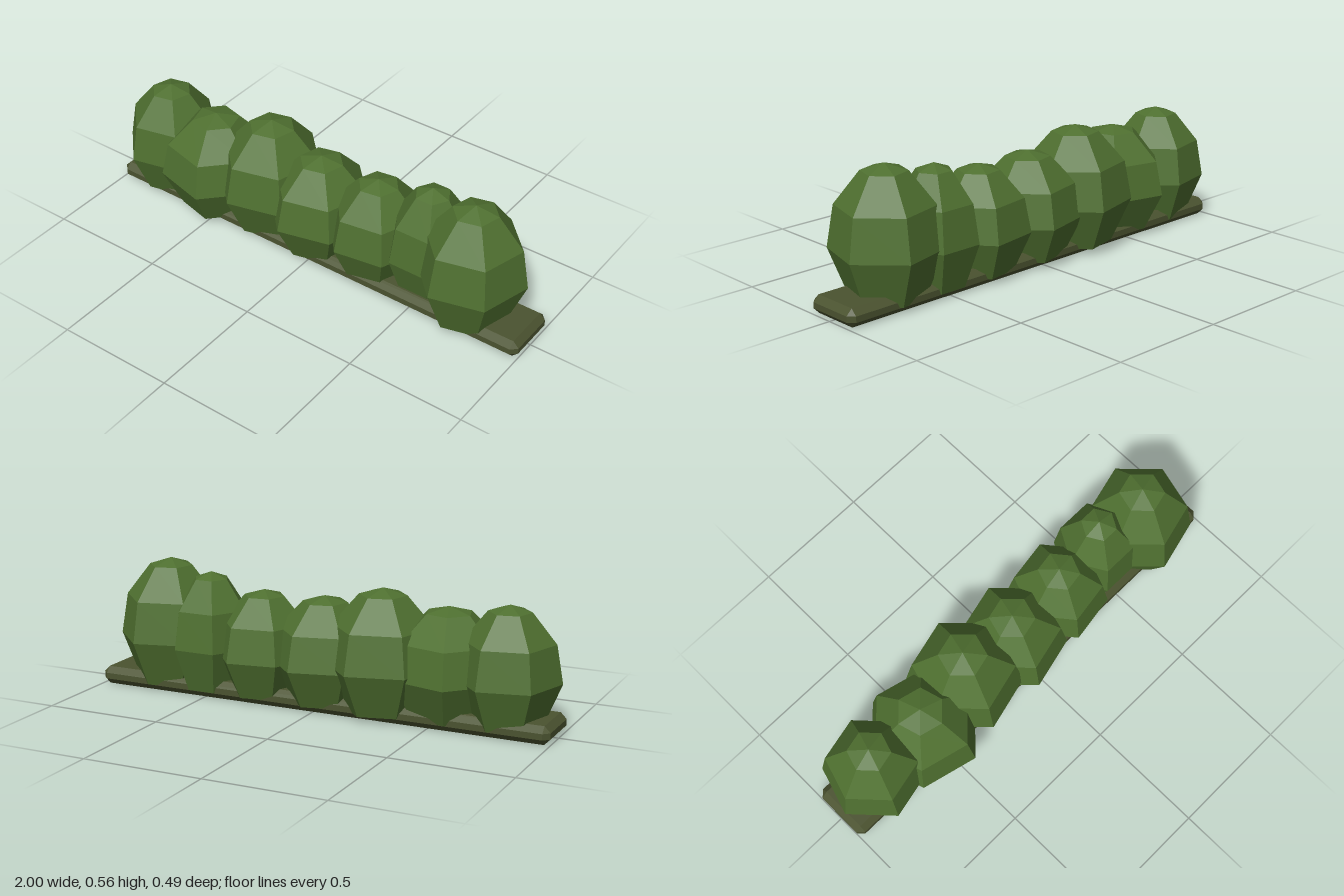
import * as THREE from 'three';
import { ConvexGeometry } from 'three/addons/geometries/ConvexGeometry.js';

// Box with every edge cut at 45 degrees
function chamferedBox(w, h, d, c) {
  const points = [];
  for (const x of [-w / 2, w / 2]) for (const y of [-h / 2, h / 2]) for (const z of [-d / 2, d / 2]) {
    const sx = Math.sign(x) * c, sy = Math.sign(y) * c, sz = Math.sign(z) * c;
    points.push(
      new THREE.Vector3(x, y - sy, z - sz),
      new THREE.Vector3(x - sx, y, z - sz),
      new THREE.Vector3(x - sx, y - sy, z));
  }
  return new ConvexGeometry(points);
}

export function createModel() {
  const model = new THREE.Group();
  model.name = 'hedge';

  const leaf = new THREE.MeshStandardMaterial({ color: 0x4f7030, flatShading: true });
  leaf.name = 'leaf green';
  const soil = new THREE.MeshStandardMaterial({ color: 0x4b5330, flatShading: true });
  soil.name = 'olive soil';

  // Low planting strip
  const base = new THREE.Mesh(chamferedBox(2, 0.075, 0.25, 0.025), soil);
  base.name = 'base';
  base.position.set(0, 0.0375, -0.005);
  model.add(base);

  // Six-sided bush of unit radius and height
  const profile = [[0, 0], [0.66, 0], [1, 0.365], [0.87, 0.69], [0.41, 0.943], [0, 1]]
    .map(([r, y]) => new THREE.Vector2(r, y));
  const bushGeometry = new THREE.LatheGeometry(profile, 6, Math.PI / 2);

  // x, z, radius, top height, turn in degrees
  const foot = 0.027;
  const bushes = [
    [-0.79, 0, 0.21, 0.505, 13],
    [-0.535, 0.015, 0.239, 0.47, -14],
    [-0.268, -0.02, 0.238, 0.525, 14.5],
    [-0.008, -0.008, 0.226, 0.465, 14],
    [0.265, -0.015, 0.209, 0.465, 9],
    [0.507, -0.03, 0.18, 0.52, 0],
    [0.72, 0.004, 0.226, 0.555, 14.5],
  ];
  bushes.forEach(([x, z, radius, top, turn], i) => {
    const bush = new THREE.Mesh(bushGeometry, leaf);
    bush.name = `bush${i + 1}`;
    bush.position.set(x, foot, z);
    bush.scale.set(radius, top - foot, radius);
    bush.rotation.y = THREE.MathUtils.degToRad(turn);
    model.add(bush);
  });

  return model;
}
